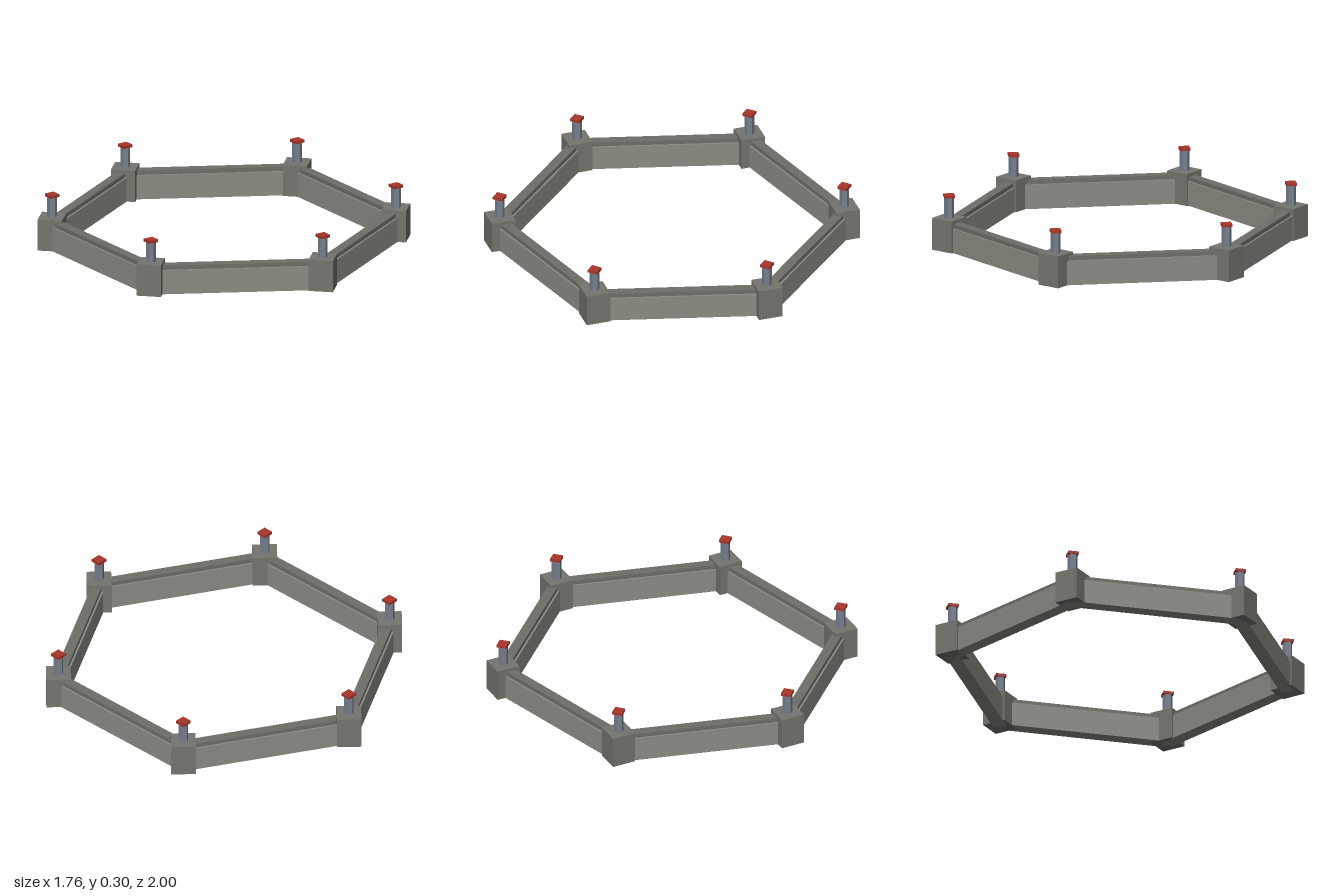
import * as THREE from 'three';

const mat = (name, color) => {
  const m = new THREE.MeshStandardMaterial({ color });
  m.name = name;
  return m;
};

export function createModel() {
  const wallStone = mat('wall stone', 0x8c8c84);
  const towerStone = mat('tower stone', 0x75756f);
  const copingStone = mat('coping stone', 0x6f6f69);
  const steel = mat('blue grey steel', 0x77808e);
  const red = mat('red', 0xa8352a);

  const group = new THREE.Group();
  group.name = 'hexagonalWall';
  const radius = 0.908; // also the side length of the hexagon

  const add = (parent, name, geometry, material, y) => {
    const mesh = new THREE.Mesh(geometry, material);
    mesh.name = name;
    mesh.position.y = y;
    parent.add(mesh);
    return mesh;
  };

  const bodyGeo = new THREE.BoxGeometry(radius, 0.132, 0.072);
  const copingGeo = new THREE.BoxGeometry(radius, 0.023, 0.052);
  const towerGeo = new THREE.BoxGeometry(0.13, 0.173, 0.13);
  const postGeo = new THREE.CylinderGeometry(0.026, 0.026, 0.11, 6).toNonIndexed();
  postGeo.computeVertexNormals();
  const capGeo = new THREE.BoxGeometry(0.055, 0.015, 0.055);

  for (let i = 0; i < 6; i++) {
    // corner tower with its post and red cap
    const a = (i * Math.PI) / 3;
    const corner = new THREE.Group();
    corner.name = 'cornerTower';
    corner.position.set(radius * Math.sin(a), 0, radius * Math.cos(a));
    add(corner, 'tower', towerGeo, towerStone, 0.0865).rotation.y = Math.PI / 4;
    add(corner, 'post', postGeo, steel, 0.228);
    add(corner, 'postCap', capGeo, red, 0.2895);
    group.add(corner);

    // wall between this corner and the next
    const b = a + Math.PI / 6;
    const apothem = radius * Math.cos(Math.PI / 6);
    const wall = new THREE.Group();
    wall.name = 'wall';
    wall.position.set(apothem * Math.sin(b), 0, apothem * Math.cos(b));
    wall.rotation.y = b;
    add(wall, 'wallBody', bodyGeo, wallStone, 0.066);
    add(wall, 'wallCoping', copingGeo, copingStone, 0.1435);
    group.add(wall);
  }
  return group;
}
